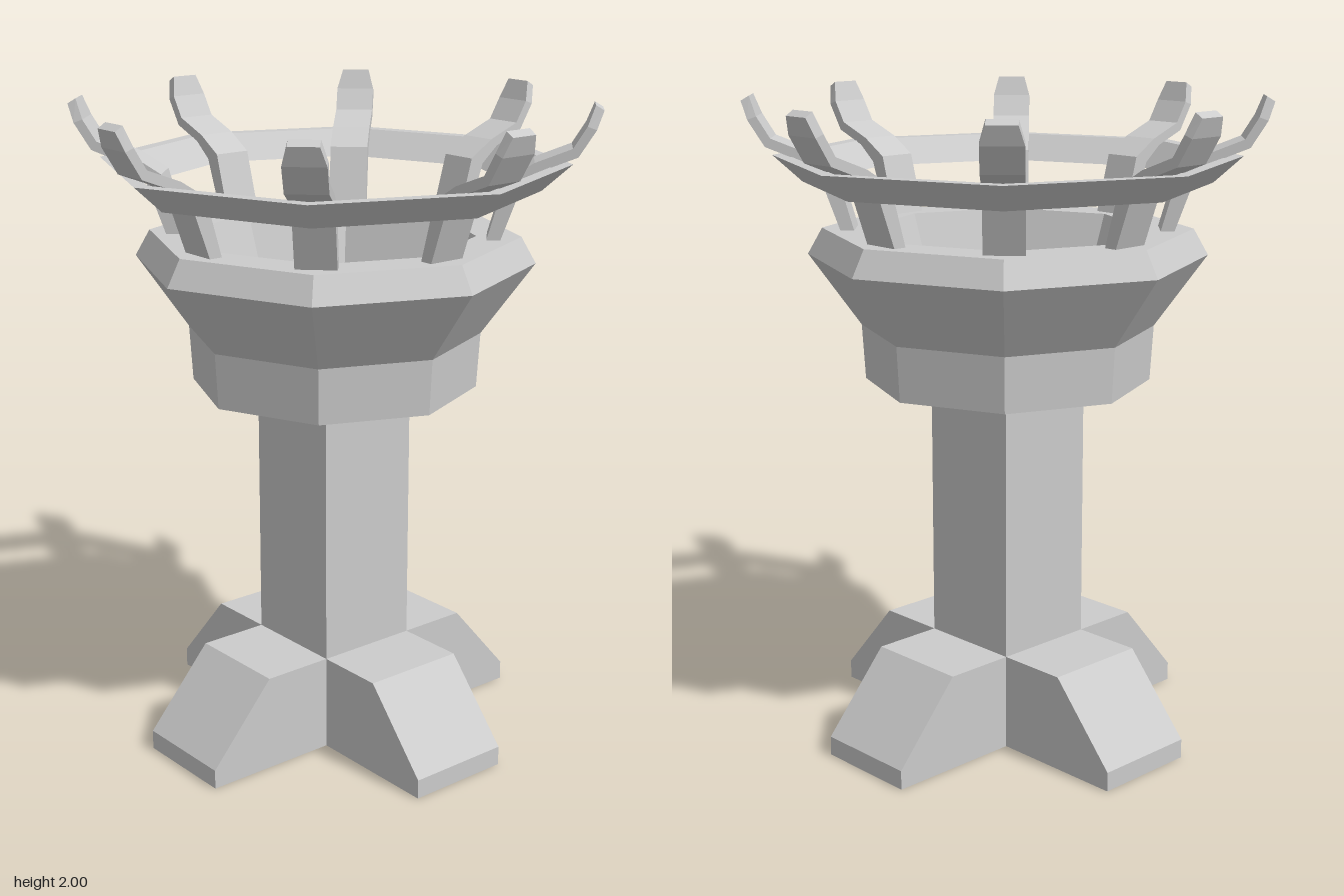
import * as THREE from 'three';

const material = new THREE.MeshStandardMaterial({ color: 0xcccccc, flatShading: true });

function part(name, geometry) {
  const mesh = new THREE.Mesh(geometry, material);
  mesh.name = name;
  return mesh;
}

// Eight-sided turned shape with corners on the axes
function octagonal(name, profile) {
  return part(name, new THREE.LatheGeometry(profile.map(([r, y]) => new THREE.Vector2(r, y)), 8));
}

// Solid bar joined from four-cornered sections: [inner r, inner y, outer r, outer y, half width]
function prongGeometry(sections) {
  const positions = [];
  const index = [];
  for (const [ri, yi, ro, yo, w] of sections) {
    positions.push(ro, yo, -w, ri, yi, -w, ri, yi, w, ro, yo, w);
  }
  const quad = (a, b, c, d) => index.push(a, b, c, a, c, d);
  const last = (sections.length - 1) * 4;
  for (let s = 0; s < last; s += 4) {
    for (let j = 0; j < 4; j++) {
      const k = (j + 1) % 4;
      quad(s + j, s + k, s + 4 + k, s + 4 + j);
    }
  }
  quad(3, 2, 1, 0);
  quad(last, last + 1, last + 2, last + 3);
  const geometry = new THREE.BufferGeometry();
  geometry.setAttribute('position', new THREE.Float32BufferAttribute(positions, 3));
  geometry.setIndex(index);
  geometry.computeVertexNormals();
  return geometry;
}

export function createModel() {
  const model = new THREE.Group();
  model.name = 'brazier';
  const half = 0.167;

  // Crossed feet with sloping ends
  const footShape = new THREE.Shape([
    [-0.6, 0], [0.6, 0], [0.6, 0.06], [0.39, 0.3], [-0.39, 0.3], [-0.6, 0.06],
  ].map(([x, y]) => new THREE.Vector2(x, y)));
  const footGeometry = new THREE.ExtrudeGeometry(footShape, { depth: half * 2, bevelEnabled: false });
  footGeometry.translate(0, 0, -half);
  for (let i = 0; i < 2; i++) {
    const foot = part('crossFoot', footGeometry);
    foot.rotation.y = i * Math.PI / 2;
    model.add(foot);
  }

  // Square post
  const post = part('post', new THREE.BoxGeometry(half * 2, 0.85, half * 2));
  post.position.y = 0.3 + 0.425;
  model.add(post);

  // Hollow bowl
  model.add(octagonal('bowl', [
    [0, 1.035], [0.44, 1.13], [0.45, 1.3], [0.61, 1.52], [0.565, 1.6],
    [0.43, 1.6], [0.325, 1.3], [0, 1.3],
  ]));

  // Flared hoop above the bowl
  model.add(octagonal('hoop', [
    [0.62, 1.74], [0.71, 1.82], [0.665, 1.82], [0.585, 1.74], [0.62, 1.74],
  ]));

  // Bent prongs around the rim
  const prong = prongGeometry([
    [0.455, 1.58, 0.495, 1.58, 0.06],
    [0.512, 1.78, 0.56, 1.76, 0.06],
    [0.595, 1.832, 0.62, 1.81, 0.06],
    [0.705, 1.875, 0.722, 1.85, 0.06],
    [0.745, 1.94, 0.772, 1.93, 0.06],
    [0.767, 2.0, 0.792, 1.985, 0.043],
  ]);
  for (let i = 0; i < 8; i++) {
    const mesh = part('prong', prong);
    mesh.rotation.y = i * Math.PI / 4;
    model.add(mesh);
  }
  return model;
}
